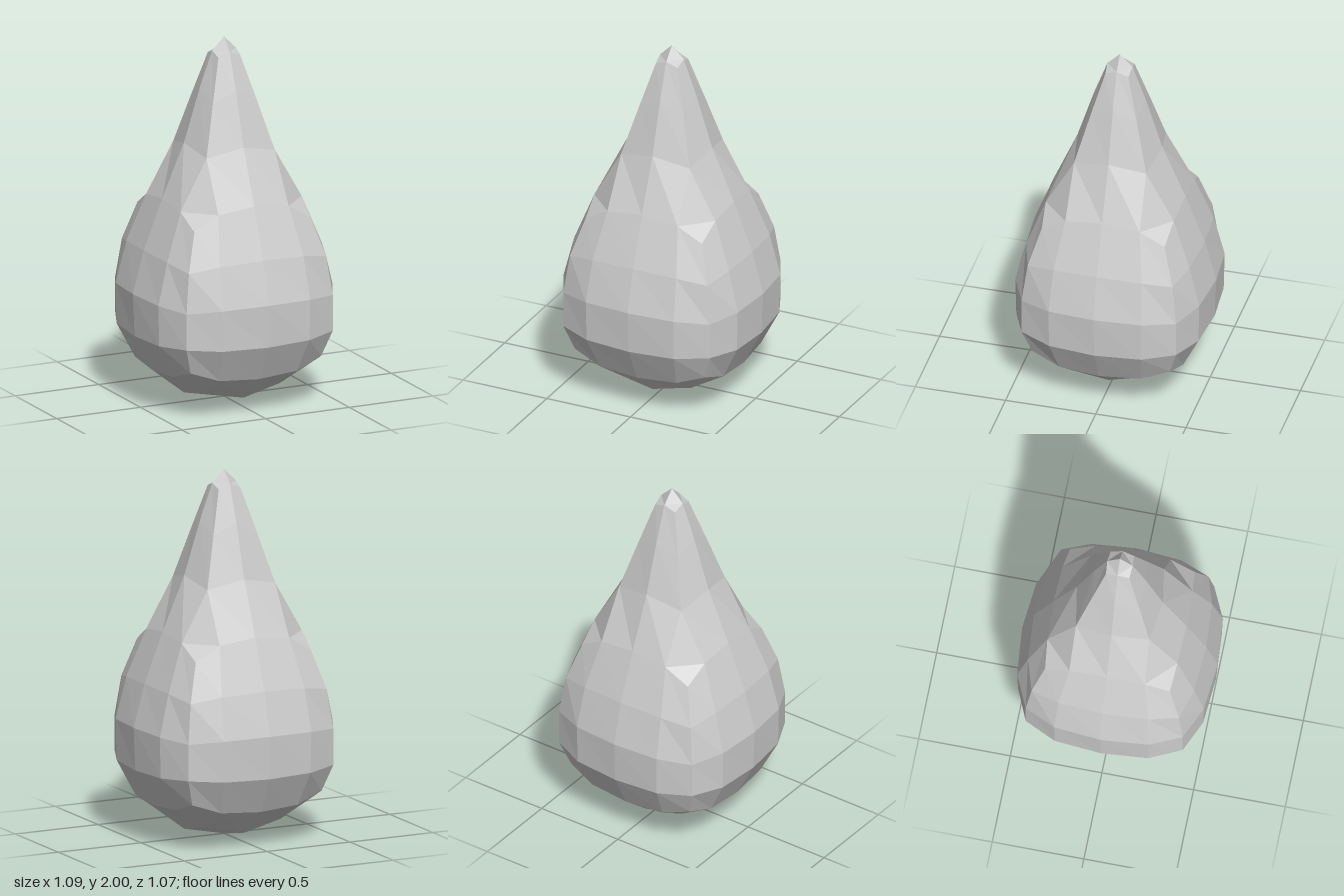
import * as THREE from 'three';

const Z_SCALE = 0.98;

// Quarter ring of five points: middle, quarter, corner, quarter, middle.
const ring5 = (m, my, q, qy, w, c, cy) => [
  [m, my, 0], [q, qy, w], [c, cy, c], [w, qy, q], [0, my, m],
];
// Quarter ring of three points: middle, corner, middle.
const ring3 = (m, my, c, cy) => [[m, my, 0], [c, cy, c], [0, my, m]];

export function createModel() {
  const positions = [];

  // Adds a quad four times, turned about the vertical axis.
  function quad(...corners) {
    for (let k = 0; k < 4; k++) {
      const p = corners.map(([x, y, z]) => {
        for (let i = 0; i < k; i++) [x, z] = [-z, x];
        return [x, y, z * Z_SCALE];
      });
      for (const i of [0, 1, 2, 0, 2, 3]) positions.push(...p[i]);
    }
  }
  function band(low, high) {
    for (let i = 0; i < low.length - 1; i++) quad(low[i], high[i], high[i + 1], low[i + 1]);
  }
  // Joins a five-point ring to a three-point ring with a corner cell.
  function shoulder(o, n, upward) {
    const cells = [
      [n[0], o[0], o[1], n[1]],
      [n[1], o[1], o[2], o[3]],
      [n[1], o[3], o[4], n[2]],
    ];
    for (const cell of cells) quad(...(upward ? cell.reverse() : cell));
  }

  // Body rings, bottom to top
  const body = [
    ring5(0.43, 0.2, 0.42, 0.215, 0.23, 0.39, 0.27),
    ring5(0.535, 0.4, 0.515, 0.405, 0.26, 0.437, 0.415),
    ring5(0.545, 0.635, 0.52, 0.63, 0.262, 0.437, 0.615),
    ring5(0.48, 0.87, 0.462, 0.86, 0.25, 0.41, 0.83),
    ring5(0.37, 1.145, 0.362, 1.12, 0.21, 0.347, 1.04),
  ];
  for (let i = 0; i < body.length - 1; i++) band(body[i], body[i + 1]);

  // Rounded underside
  const under = ring3(0.24, 0.05, 0.225, 0.1);
  shoulder(body[0], under, false);
  quad(under[0], under[1], under[2], [0, 0, 0]);

  // Tapering neck and pointed tip
  const neck = [
    ring3(0.24, 1.44, 0.204, 1.395),
    ring3(0.146, 1.73, 0.13, 1.67),
    ring3(0.071, 1.93, 0.065, 1.905),
  ];
  shoulder(body[4], neck[0], true);
  band(neck[0], neck[1]);
  band(neck[1], neck[2]);
  quad(neck[2][0], [0, 2, 0], neck[2][2], neck[2][1]);

  const geometry = new THREE.BufferGeometry();
  geometry.setAttribute('position', new THREE.Float32BufferAttribute(positions, 3));
  geometry.computeVertexNormals();

  const grey = new THREE.MeshStandardMaterial({ color: 0xcccccc });
  grey.name = 'light grey';
  grey.flatShading = true;

  const drop = new THREE.Mesh(geometry, grey);
  drop.name = 'teardropBody';
  const group = new THREE.Group();
  group.name = 'teardrop';
  group.add(drop);
  return group;
}
